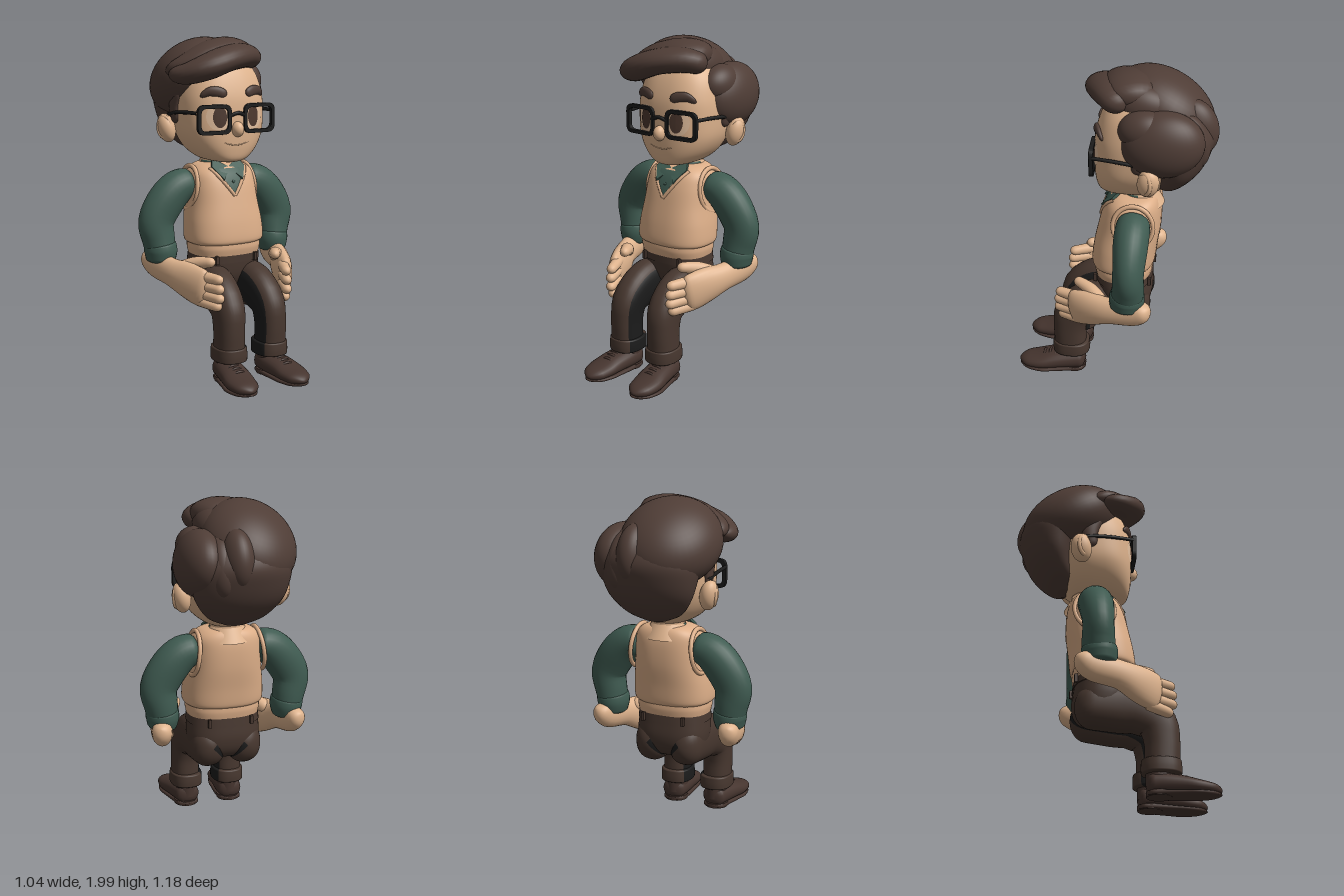
import * as THREE from 'three';

const mat = (name, color) => Object.assign(new THREE.MeshStandardMaterial({ color }), { name });
const V = (x, y, z) => new THREE.Vector3(x, y, z);

// Smooth interpolation through rows of numbers
function rowAt(rows, t) {
  const n = rows.length, f = t * (n - 1), i = Math.min(Math.floor(f), n - 2), u = f - i;
  const r = k => rows[Math.max(0, Math.min(n - 1, k))];
  return rows[0].map((_, k) => {
    const a = r(i - 1)[k], b = r(i)[k], c = r(i + 1)[k], d = r(i + 2)[k];
    const m0 = (c - a) / 2, m1 = (d - b) / 2, u2 = u * u, u3 = u2 * u;
    return (2 * u3 - 3 * u2 + 1) * b + (u3 - 2 * u2 + u) * m0 + (3 * u2 - 2 * u3) * c + (u3 - u2) * m1;
  });
}
const pw = (v, p) => Math.sign(v) * Math.pow(Math.abs(v), 2 / p);

// Closed surface through rings of points, with flat caps; split(sin) picks faces for a second material
function skin(rings, split) {
  const n = rings[0].length, m = rings.length, pos = rings.flat().flatMap(v => [v.x, v.y, v.z]);
  const first = [], second = [];
  for (let i = 0; i < m - 1; i++) for (let j = 0; j < n; j++) {
    const k = (j + 1) % n, a = i * n + j, b = i * n + k;
    const list = split && split(Math.sin((j + 0.5) / n * Math.PI * 2)) ? second : first;
    list.push(a, b, a + n, b, b + n, a + n);
  }
  for (const [ring, end] of [[rings[0], 0], [rings[m - 1], 1]]) {
    const o = pos.length / 3, c = ring.reduce((s, v) => s.add(v), V(0, 0, 0)).divideScalar(n);
    for (const v of [...ring, c]) pos.push(v.x, v.y, v.z);
    for (let j = 0; j < n; j++) {
      const k = (j + 1) % n;
      first.push(o + n, o + (end ? j : k), o + (end ? k : j));
    }
  }
  const g = new THREE.BufferGeometry();
  g.setAttribute('position', new THREE.Float32BufferAttribute(pos, 3));
  g.setIndex([...first, ...second]);
  if (split) { g.addGroup(0, first.length, 0); g.addGroup(first.length, second.length, 1); }
  g.computeVertexNormals();
  return g;
}

// Horizontal sections: [y, halfWidth, zFront, zBack]
function stack(rows, p = 2.4, n = 40, m = 40) {
  const rings = [];
  for (let i = 0; i <= m; i++) {
    const [y, w, zf, zb] = rowAt(rows, i / m), ring = [];
    for (let j = 0; j < n; j++) {
      const a = j / n * Math.PI * 2;
      ring.push(V(w * pw(Math.cos(a), p), y, (zf + zb) / 2 - (zf - zb) / 2 * pw(Math.sin(a), p)));
    }
    rings.push(ring);
  }
  return skin(rings);
}

// Sections along a path: [x, y, z, radiusA, radiusB], with ends rounded over r0 and r1
function sweep(rows, { up = V(0, 1, 0), p = 2, r0 = 0, r1 = 0, n = 24, m = 28, split } = {}) {
  const s = [], len = [0];
  for (let i = 0; i <= m; i++) {
    const t = (1 - Math.cos(Math.PI * i / m)) / 2, r = rowAt(rows, t);
    const a = rowAt(rows, Math.max(0, t - 0.01)), b = rowAt(rows, Math.min(1, t + 0.01));
    s.push({ c: V(r[0], r[1], r[2]), r, t: V(b[0] - a[0], b[1] - a[1], b[2] - a[2]).normalize() });
    if (i) len.push(len[i - 1] + s[i].c.distanceTo(s[i - 1].c));
  }
  const round = (d, r) => r ? Math.sqrt(Math.max(0.0004, 1 - (1 - Math.min(1, d / r)) ** 2)) : 1;
  return skin(s.map(({ c, r, t }, i) => {
    const f = round(len[i], r0) * round(len[m] - len[i], r1);
    const side = t.clone().cross(up).normalize(), q = t.clone().cross(side);
    return Array.from({ length: n }, (_, j) => {
      const a = j / n * Math.PI * 2;
      return c.clone().addScaledVector(side, f * r[3] * pw(Math.cos(a), p)).addScaledVector(q, f * r[4] * pw(Math.sin(a), p));
    });
  }), split);
}

const ball = (x, y, z, a, b, c, rx = 0, rz = 0) =>
  new THREE.SphereGeometry(1, 40, 28).scale(a, b, c).rotateX(rx).rotateZ(rz).translate(x, y, z);
const tube = (pts, r, m = 24) =>
  new THREE.TubeGeometry(new THREE.CatmullRomCurve3(pts.map(q => V(...q))), m, r, 8);

export function createModel() {
  const model = new THREE.Group();
  const skinM = mat('skin', 0xdfb48e), vestM = mat('vest', 0xdcae88), greenM = mat('shirt green', 0x3f5b51);
  const hairM = mat('hair brown', 0x4f3d36), trouserM = mat('trouser brown', 0x47372f), shoeM = mat('shoe brown', 0x46352f);
  const blackM = mat('black', 0x1b1b1b), eyeM = mat('eye', 0xe3bf9e), irisM = mat('iris', 0x4d382e);
  greenM.side = THREE.DoubleSide; skinM.side = THREE.DoubleSide;
  const add = (name, geo, m) => {
    const mesh = new THREE.Mesh(geo, m);
    mesh.name = name;
    model.add(mesh);
    return mesh;
  };
  const ray = new THREE.Raycaster();
  const frontZ = (mesh, x, y) => {
    ray.set(V(x, y, 2), V(0, 0, -1));
    return ray.intersectObject(mesh)[0]?.point.z ?? 0;
  };
  // Lay a flat geometry on the front of a mesh
  const decal = (geo, mesh, lift) => {
    const q = geo.attributes.position;
    for (let i = 0; i < q.count; i++) q.setZ(i, frontZ(mesh, q.getX(i), q.getY(i)) + lift);
    geo.computeVertexNormals();
    return geo;
  };

  // Head
  const head = add('head', stack([[1.262, 0.05, 0.04, -0.2], [1.28, 0.125, 0.085, -0.26], [1.34, 0.2, 0.103, -0.32],
    [1.43, 0.25, 0.11, -0.36], [1.54, 0.266, 0.11, -0.4], [1.66, 0.265, 0.1, -0.42], [1.78, 0.235, 0.06, -0.42],
    [1.87, 0.16, 0, -0.38], [1.92, 0.06, -0.08, -0.3]], 2.5, 56, 56), skinM);
  add('nose', ball(0, 1.465, 0.115, 0.036, 0.045, 0.042), skinM);
  add('mouth', tube([-0.08, -0.04, 0, 0.04, 0.08].map(x => [x, 1.372 + x * x * 2.5, frontZ(head, x, 1.375)]), 0.003), skinM);
  add('neck', stack([[1.12, 0.1, -0.06, -0.25], [1.3, 0.095, -0.06, -0.25]], 2, 24, 2), skinM);

  // Hair: a shell, a large crown and side clump with a parting between, and swept front locks
  add('backHair', stack([[1.3, 0.06, -0.27, -0.34], [1.35, 0.17, -0.23, -0.42], [1.45, 0.25, -0.23, -0.51],
    [1.56, 0.288, -0.2, -0.56], [1.66, 0.302, -0.14, -0.578], [1.76, 0.275, -0.1, -0.53], [1.83, 0.2, -0.08, -0.45],
    [1.87, 0.1, -0.13, -0.35]], 2), hairM);
  add('crownHair', ball(-0.083, 1.752, -0.272, 0.283, 0.212, 0.313, -0.5, 0.3), hairM);
  add('partingHair', ball(0.09, 1.835, -0.17, 0.11, 0.12, 0.18, -0.2), hairM);
  add('sideHair', ball(0.21, 1.66, -0.295, 0.138, 0.19, 0.235, 0.12, 0.1), hairM);
  add('sideHairFront', ball(0.205, 1.735, -0.19, 0.105, 0.115, 0.145, 0.1), hairM);
  add('rearLock', ball(0.045, 1.7, -0.46, 0.095, 0.17, 0.13, 0.3), hairM);
  add('rearSideLock', ball(0.13, 1.65, -0.435, 0.09, 0.17, 0.115, 0.3), hairM);
  add('forelock', sweep([[0.2, 1.85, -0.07, 0.07, 0.06], [0.1, 1.885, 0, 0.1, 0.072], [-0.05, 1.87, 0.06, 0.115, 0.075],
    [-0.18, 1.825, 0.07, 0.105, 0.075], [-0.28, 1.785, 0, 0.085, 0.06], [-0.33, 1.785, -0.1, 0.05, 0.04]],
  { r0: 0.06, r1: 0.08 }), hairM);
  add('forelockTop', sweep([[0.175, 1.875, -0.15, 0.12, 0.08], [0.04, 1.915, -0.1, 0.15, 0.08], [-0.12, 1.885, -0.06, 0.14, 0.08],
    [-0.25, 1.83, -0.08, 0.09, 0.06], [-0.325, 1.79, -0.16, 0.05, 0.04]], { r0: 0.08, r1: 0.08 }), hairM);

  // Torso and vest
  const vest = add('vest', stack([[0.775, 0.218, 0.11, -0.235], [0.8, 0.24, 0.13, -0.25], [0.9, 0.236, 0.12, -0.262],
    [1.02, 0.218, 0.095, -0.278], [1.13, 0.208, 0.067, -0.28], [1.2, 0.195, 0.035, -0.27], [1.24, 0.15, -0.005, -0.25],
    [1.255, 0.08, -0.05, -0.22]], 2.5, 56, 48), vestM);
  add('vestHem', stack([[0.71, 0.215, 0.108, -0.232], [0.75, 0.222, 0.116, -0.238], [0.79, 0.22, 0.114, -0.236]], 2.5), vestM);
  const vee = new THREE.PlaneGeometry(2, 1, 12, 10), vp = vee.attributes.position;
  for (let i = 0; i < vp.count; i++) {
    const k = vp.getY(i) + 0.5;
    vp.setXY(i, vp.getX(i) * 0.095 * k, 1.08 + 0.145 * k);
  }
  add('shirtFront', decal(vee, vest, 0.005), greenM);
  add('shirtButton', ball(0, 1.15, frontZ(vest, 0, 1.15) + 0.006, 0.009, 0.009, 0.006), greenM);

  // Collar: green in front, pale behind
  const collarBand = (start, r) => new THREE.CylinderGeometry(0.1, r, 0.085, 24, 1, true, start, Math.PI).translate(0, 1.22, -0.15);
  add('collarFront', collarBand(-Math.PI / 2, 0.135), greenM);
  add('collarBack', collarBand(Math.PI / 2, 0.145), skinM);

  // Trouser top
  add('hips', stack([[0.44, 0.08, -0.02, -0.14], [0.46, 0.15, 0.02, -0.19], [0.51, 0.205, 0.06, -0.225], [0.58, 0.22, 0.09, -0.238],
    [0.66, 0.216, 0.1, -0.232], [0.72, 0.208, 0.1, -0.225]], 2.5), trouserM);
  add('waistband', stack([[0.665, 0.22, 0.106, -0.237], [0.712, 0.215, 0.106, -0.232]], 2.5, 40, 4), trouserM);
  for (const x of [-0.13, 0.13]) for (const z of [0.1, -0.23])
    add('beltLoop', new THREE.BoxGeometry(0.018, 0.05, 0.02).translate(x, 0.69, z), trouserM);

  for (const s of [1, -1]) {
    const X = rows => rows.map(([x, ...rest]) => [s * x, ...rest]);
    const part = (name, rows, m, o) => add((s > 0 ? 'left' : 'right') + name, sweep(X(rows), o), m);

    // Face details
    add('eye', decal(new THREE.RingGeometry(0.001, 1, 32, 5).scale(0.07, 0.08, 1).translate(s * 0.113, 1.54, 0), head, 0.003), eyeM);
    add('iris', decal(new THREE.RingGeometry(0.001, 1, 32, 4).scale(0.04, 0.062, 1).translate(s * 0.11, 1.538, 0), head, 0.007), irisM);
    part('Brow', [[0.065, 1.665, 0, 0.023, 0.012], [0.11, 1.684, 0, 0.029, 0.016], [0.16, 1.684, 0, 0.027, 0.016], [0.205, 1.655, 0, 0.014, 0.01]]
      .map(([x, y, , a, b]) => [x, y, frontZ(head, x, y) + 0.004, a, b]), hairM, { up: V(0, 0, 1), r0: 0.025, r1: 0.025 });
    add('ear', ball(s * 0.295, 1.457, -0.23, 0.052, 0.088, 0.062, -0.15, -s * 0.2), skinM);
    add('earRim', new THREE.TorusGeometry(0.045, 0.013, 8, 24).scale(0.9, 1.3, 1).rotateY(s * 0.9).translate(s * 0.316, 1.465, -0.215), skinM);
    part('Sideburn', [[0.265, 1.72, -0.14, 0.03, 0.06], [0.27, 1.6, -0.175, 0.025, 0.05], [0.262, 1.49, -0.165, 0.018, 0.035]], hairM,
      { up: V(0, 0, 1), r0: 0.06, r1: 0.03 });

    // Glasses
    const rect = (path, w, h, r) => path.moveTo(-w + r, -h).lineTo(w - r, -h).quadraticCurveTo(w, -h, w, -h + r).lineTo(w, h - r)
      .quadraticCurveTo(w, h, w - r, h).lineTo(-w + r, h).quadraticCurveTo(-w, h, -w, h - r).lineTo(-w, -h + r)
      .quadraticCurveTo(-w, -h, -w + r, -h);
    const frame = rect(new THREE.Shape(), 0.106, 0.085, 0.045);
    frame.holes.push(rect(new THREE.Path(), 0.087, 0.067, 0.035));
    add('glassesFrame', new THREE.ExtrudeGeometry(frame, { depth: 0.02, bevelEnabled: true, bevelSize: 0.002, bevelThickness: 0.003,
      bevelSegments: 2, curveSegments: 8 }).rotateY(s * 0.06).translate(s * 0.148, 1.525, 0.093), blackM);
    add('glassesTemple', tube([[s * 0.25, 1.565, 0.09], [s * 0.268, 1.563, -0.03], [s * 0.28, 1.555, -0.14], [s * 0.285, 1.54, -0.22]], 0.011), blackM);

    // Collar flap, neck rib and armhole rib
    const flap = new THREE.Shape([[0.004, 0.1], [0.085, 0.165], [0.11, 0.1], [0.062, 0], [0.004, 0.075]].map(([x, y]) => new THREE.Vector2(s * x, y)));
    add('collarFlap', new THREE.ExtrudeGeometry(flap, { depth: 0.016, bevelEnabled: false }).rotateX(-0.8).translate(0, 1.155, 0.062), greenM);
    add('neckRib', tube([0, 0.25, 0.5, 0.75, 1].map(k => [s * 0.118 * k, 1.068 + 0.16 * k, frontZ(vest, s * 0.118 * k, 1.068 + 0.16 * k)]), 0.011), vestM);
    add('armholeRib', new THREE.TorusGeometry(1, 0.11, 10, 40).scale(0.118, 0.13, 0.12).rotateY(Math.PI / 2)
      .rotateZ(s * 0.12).translate(s * 0.197, 1.105, -0.135), vestM);

    // Sleeve bent at the elbow, with rolled cuff
    part('Sleeve', [[0.17, 1.135, -0.14, 0.085, 0.095], [0.265, 1.11, -0.14, 0.105, 0.102], [0.345, 1.035, -0.14, 0.115, 0.1],
      [0.41, 0.92, -0.14, 0.112, 0.09], [0.4, 0.81, -0.138, 0.1, 0.094], [0.386, 0.72, -0.13, 0.088, 0.098]], greenM,
    { up: V(0, 0, 1), r0: 0.04 });
    part('Cuff', [[0.394, 0.785, -0.135, 0.095, 0.098], [0.389, 0.73, -0.13, 0.098, 0.104], [0.394, 0.655, -0.125, 0.078, 0.088]], greenM,
      { up: V(0, 0, 1), r0: 0.015, r1: 0.025 });

    // Forearm and hand resting beside the thigh
    part('Forearm', [[0.432, 0.7, -0.265, 0.05, 0.04], [0.405, 0.655, -0.18, 0.062, 0.085], [0.372, 0.625, -0.02, 0.06, 0.086],
      [0.33, 0.6, 0.08, 0.062, 0.108], [0.295, 0.574, 0.17, 0.05, 0.116], [0.265, 0.56, 0.235, 0.036, 0.105]], skinM, { r0: 0.045, r1: 0.04 });
    for (const [y, z, y0] of [[0.628, 0.325, 0.635], [0.573, 0.335, 0.585], [0.517, 0.335, 0.535], [0.465, 0.31, 0.49]])
      part('Finger', [[0.3, y0, 0.14, 0.034, 0.034], [0.257, (y + y0) / 2, 0.23, 0.034, 0.033], [0.217, y, z, 0.029, 0.028]], skinM,
        { r0: 0.03, r1: 0.03, n: 16, m: 18 });
    part('Thumb', [[0.345, 0.645, 0.02, 0.045, 0.045], [0.272, 0.69, 0.1, 0.04, 0.04], [0.205, 0.712, 0.21, 0.028, 0.028]], skinM,
      { r0: 0.04, r1: 0.03, n: 16, m: 18 });

    // Trouser leg with dark inner panel, and turn-up
    part('Leg', [[0.108, 0.53, -0.236, 0.125, 0.105], [0.113, 0.522, -0.1, 0.132, 0.104], [0.12, 0.517, 0.02, 0.14, 0.1], [0.128, 0.505, 0.13, 0.135, 0.097],
      [0.136, 0.435, 0.235, 0.117, 0.092], [0.14, 0.33, 0.262, 0.103, 0.086], [0.14, 0.22, 0.262, 0.1, 0.086], [0.14, 0.14, 0.262, 0.1, 0.086]],
    [trouserM, blackM], { up: V(1, 0, 0), p: 2.3, r0: 0.1, n: 36, m: 36, split: sn => s * sn > 0.75 });
    part('TurnUp', [[0.138, 0.222, 0.256, 0.112, 0.096], [0.138, 0.17, 0.256, 0.116, 0.099], [0.138, 0.125, 0.256, 0.114, 0.098]],
      [trouserM, blackM], { up: V(1, 0, 0), p: 2.4, r0: 0.012, r1: 0.012, n: 36, split: sn => s * sn > 0.75 });

    // Shoe, sole, heel and laces
    part('Ankle', [[0.14, 0.06, 0.245, 0.07, 0.08], [0.14, 0.15, 0.245, 0.068, 0.08]], shoeM, { up: V(0, 0, 1), m: 4 });
    part('Shoe', [[0.14, 0.072, 0.168, 0.068, 0.062], [0.146, 0.072, 0.26, 0.082, 0.064], [0.162, 0.064, 0.37, 0.088, 0.057],
      [0.172, 0.053, 0.45, 0.091, 0.046], [0.174, 0.046, 0.525, 0.077, 0.037], [0.174, 0.04, 0.589, 0.052, 0.03]], shoeM,
    { p: 2.2, r0: 0.03, r1: 0.065 });
    part('Sole', [[0.14, 0.016, 0.166, 0.066, 0.016], [0.146, 0.016, 0.27, 0.079, 0.016], [0.162, 0.015, 0.38, 0.087, 0.013],
      [0.172, 0.015, 0.46, 0.089, 0.012], [0.174, 0.018, 0.588, 0.056, 0.012]], shoeM, { p: 4, r0: 0.035, r1: 0.08 });
    add('heel', new THREE.CylinderGeometry(0.075, 0.073, 0.03, 24).translate(s * 0.143, 0.015, 0.24), shoeM);
    for (const [z, y] of [[0.35, 0.122], [0.385, 0.115], [0.42, 0.105]])
      add('lace', tube([[s * 0.11, y - 0.018, z], [s * 0.163, y + 0.004, z + 0.006], [s * 0.215, y - 0.02, z]], 0.008, 10), shoeM);
  }
  add('glassesBridge', tube([[-0.05, 1.545, 0.112], [0, 1.56, 0.122], [0.05, 1.545, 0.112]], 0.011), blackM);
  return model;
}
